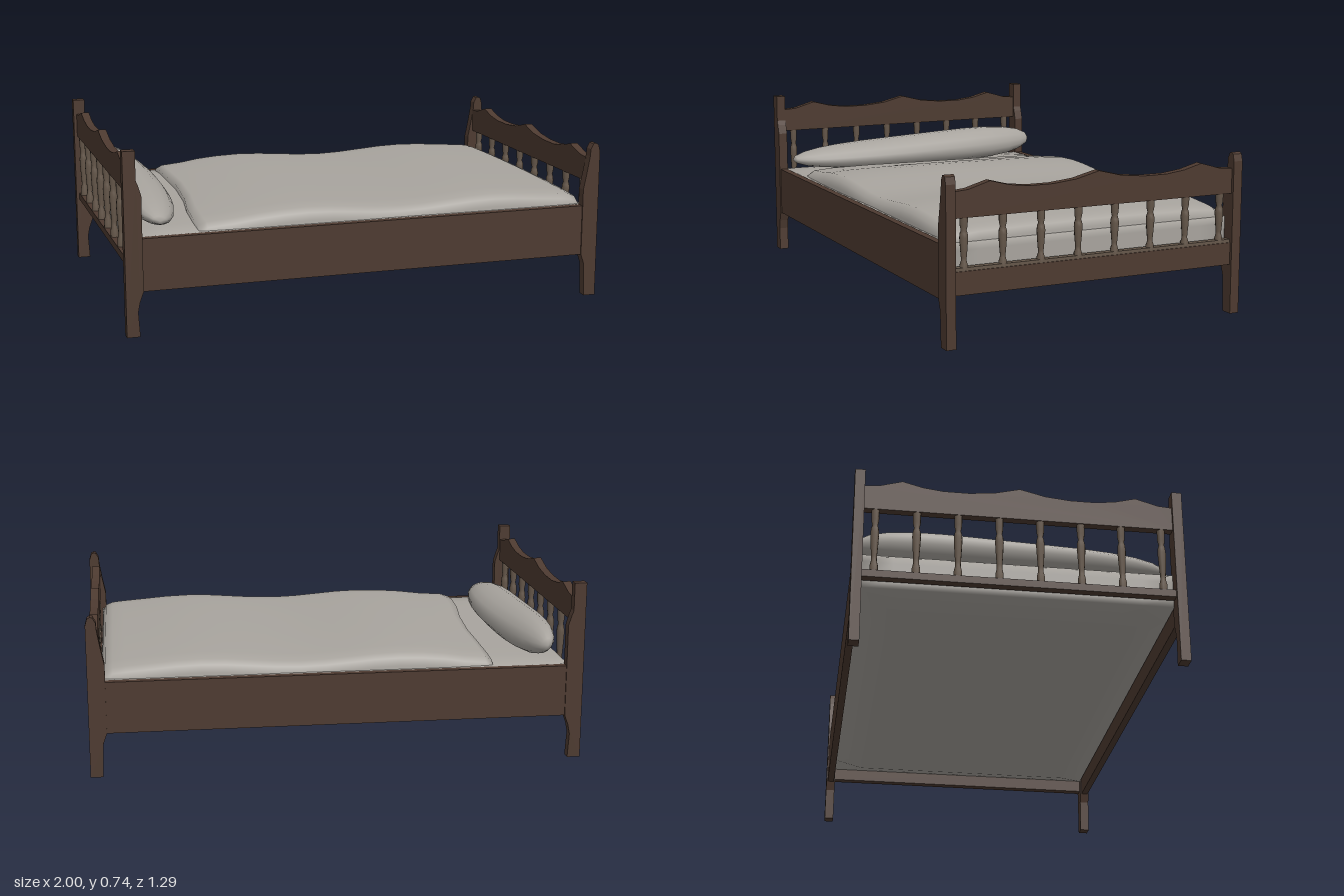
import * as THREE from 'three';
import { mergeVertices } from 'three/addons/utils/BufferGeometryUtils.js';

const wood = new THREE.MeshStandardMaterial({ color: 0x4d3a30 });
wood.name = 'dark wood';
const turned = new THREE.MeshStandardMaterial({ color: 0x65574a });
turned.name = 'turned wood';
const linen = new THREE.MeshStandardMaterial({ color: 0xa8a49e, side: THREE.DoubleSide });
linen.name = 'grey linen';

function add(parent, name, geometry, material, x = 0, y = 0, z = 0) {
  const mesh = new THREE.Mesh(geometry, material);
  mesh.name = name;
  mesh.position.set(x, y, z);
  parent.add(mesh);
  return mesh;
}

// Box given by its limits on each axis
function block(parent, name, material, [x0, x1], [y0, y1], [z0, z1]) {
  add(parent, name, new THREE.BoxGeometry(x1 - x0, y1 - y0, z1 - z0), material,
    (x0 + x1) / 2, (y0 + y1) / 2, (z0 + z1) / 2);
}

function extrude(points, depth) {
  const shape = new THREE.Shape(points.map(([x, y]) => new THREE.Vector2(x, y)));
  const g = new THREE.ExtrudeGeometry(shape, { depth, bevelEnabled: false });
  return g.translate(0, 0, -depth / 2);
}

// Weld a moved geometry and shade it smoothly
function soften(g) {
  g.deleteAttribute('uv');
  g.deleteAttribute('normal');
  const welded = mergeVertices(g, 1e-4);
  welded.computeVertexNormals();
  return welded;
}

// Move every vertex by a rule
function reshape(g, rule) {
  const p = g.attributes.position;
  const v = new THREE.Vector3();
  for (let i = 0; i < p.count; i++) {
    v.fromBufferAttribute(p, i);
    rule(v);
    p.setXYZ(i, v.x, v.y, v.z);
  }
  return soften(g);
}

// Board with a wavy top edge; base is the height of its lower edge
function wavyBoard(base) {
  const half = [[0.61, 0.1], [0.55, 0.105], [0.46, 0.131], [0.38, 0.11], [0.3, 0.1], [0.2, 0.1], [0.1, 0.11]];
  const pts = [[-0.61, 0], [0.61, 0], ...half, [0, 0.135],
    ...half.slice().reverse().map(([z, y]) => [-z, y])];
  return extrude(pts.map(([z, y]) => [z, y + base]), 0.034).rotateY(Math.PI / 2);
}

// Row of turned spindles between two heights
function spindles(parent, x, y0, y1) {
  const profile = [[0.016, 0], [0.016, 0.1], [0.011, 0.18], [0.011, 0.24], [0.014, 0.4], [0.017, 0.62],
    [0.015, 0.7], [0.011, 0.76], [0.015, 0.84], [0.016, 1]];
  const g = new THREE.LatheGeometry(profile.map(([r, t]) => new THREE.Vector2(r, t * (y1 - y0))), 10);
  for (let i = 0; i < 8; i++) add(parent, 'spindle', g, turned, x, y0, 0.56 - i * 0.16);
}

function blanketGeometry() {
  // [position, drop] along the bed and across it
  const along = [[-0.7, 0.05], [-0.695, 0.012], [-0.66, 0]];
  for (let x = -0.55; x < 0.87; x += 0.1) along.push([x, 0]);
  along.push([0.9, 0.003], [0.93, 0.015], [0.942, 0.04], [0.945, 0.15]);
  const half = [[0.605, 0.12], [0.602, 0.06], [0.592, 0.03], [0.565, 0.012], [0.48, 0.006], [0.3, 0.002], [0.12, 0]];
  const across = [...half.map(([z, d]) => [-z, d]), ...half.slice().reverse()];
  const pos = [], index = [], n = across.length;
  along.forEach(([x, dx], i) => across.forEach(([z, dz], j) => {
    const top = 0.453 + 0.011 * Math.cos((x + 0.25) * 7.9) - 0.012 * Math.max(0, (-x - 0.45) / 0.25);
    // The turned-back hem slants towards the far side
    const hem = 0.06 * Math.max(0, 1 - (x + 0.7) / 0.3) * THREE.MathUtils.clamp((0.4 - z) / 0.4, 0, 1);
    pos.push(x + hem, Math.max(0.29, top - dx - dz), z);
    if (i && j) {
      const a = (i - 1) * n + j - 1, b = a + n;
      index.push(a, a + 1, b, b, a + 1, b + 1);
    }
  }));
  const g = new THREE.BufferGeometry();
  g.setAttribute('position', new THREE.Float32BufferAttribute(pos, 3));
  g.setIndex(index);
  g.computeVertexNormals();
  return g;
}

export function createModel() {
  const bed = new THREE.Group();
  bed.name = 'bed';

  // Corner posts
  const headPost = extrude([[-1, 0], [-0.947, 0], [-0.953, 0.1], [-0.945, 0.14], [-0.93, 0.18], [-0.93, 0.56],
    [-0.942, 0.6], [-0.95, 0.62], [-0.95, 0.735], [-1, 0.735]], 0.04);
  const footPost = extrude([[0.95, 0], [1, 0], [1, 0.62], [0.992, 0.648], [0.98, 0.655], [0.97, 0.652],
    [0.958, 0.63], [0.956, 0.6], [0.944, 0.53], [0.93, 0.46], [0.93, 0.18], [0.944, 0.14]], 0.04);
  for (const s of [1, -1]) {
    add(bed, 'headPost', headPost, wood, 0, 0, s * 0.625);
    add(bed, 'footPost', footPost, wood, 0, 0, s * 0.625);
    block(bed, 'sideRail', wood, [-0.94, 0.94], [0.18, 0.39], [s * 0.625 - 0.015, s * 0.625 + 0.015]);
  }

  // Headboard
  const head = new THREE.Group();
  head.name = 'headboard';
  bed.add(head);
  add(head, 'headPanel', wavyBoard(0.57), wood, -0.97);
  block(head, 'headRail', wood, [-0.987, -0.953], [0.275, 0.305], [-0.61, 0.61]);
  spindles(head, -0.97, 0.305, 0.57);

  // Footboard
  const foot = new THREE.Group();
  foot.name = 'footboard';
  bed.add(foot);
  add(foot, 'footPanel', wavyBoard(0.49), wood, 0.97);
  block(foot, 'footRail', wood, [0.952, 0.988], [0.2, 0.29], [-0.61, 0.61]);
  block(foot, 'footRailLip', turned, [0.956, 0.984], [0.29, 0.303], [-0.61, 0.61]);
  spindles(foot, 0.97, 0.29, 0.49);

  // Mattress with a belly underneath and rounded edges
  const mattress = reshape(new THREE.BoxGeometry(2, 2, 2, 16, 3, 10), (v) => {
    const edge = Math.max(Math.abs(v.x), Math.abs(v.z)) ** 8;
    v.y = v.y > 0.9 ? 0.402 - 0.012 * edge : v.y < -0.9 ? 0.2 + 0.05 * edge : 0.32 + v.y * 0.12;
    v.x *= 0.945;
    v.z *= 0.606;
  });
  add(bed, 'mattress', mattress, linen);

  add(bed, 'blanket', blanketGeometry(), linen);

  // Long lumpy pillow, thicker at the far end
  const pillow = reshape(new THREE.SphereGeometry(1, 14, 14), (v) => {
    const t = v.y;
    const ring = Math.hypot(v.x, v.z) || 1;
    const fat = Math.sqrt(Math.max(0, 1 - Math.abs(t) ** 4));
    const h = 0.068 - 0.016 * t;
    const c = v.x / ring, s = v.z / ring;
    const width = 0.08 + 0.022 * Math.cos((t - 0.2) * 1.6);
    v.set(-0.845 + 0.015 * Math.cos(t * 2) + c * fat * width - 0.02 * s * fat,
      0.393 + h + s * fat * h, -0.015 - 0.62 * t * -1);
  });
  add(bed, 'pillow', pillow, linen);

  return bed;
}
